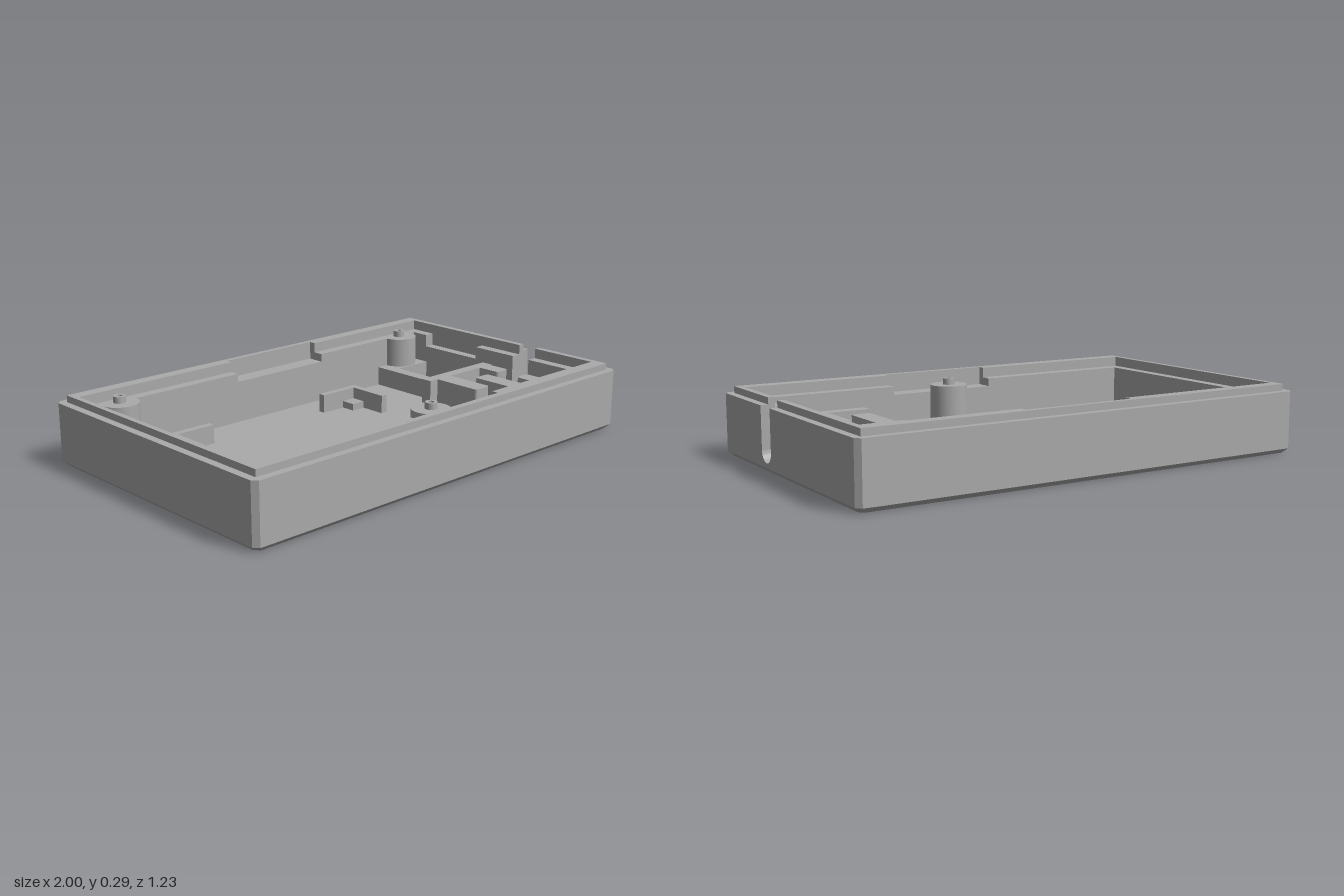
import * as THREE from 'three';
import { toCreasedNormals } from 'three/addons/utils/BufferGeometryUtils.js';
import { ConvexGeometry } from 'three/addons/geometries/ConvexGeometry.js';

const FLOOR = 0.03, LEDGE = 0.245, SHOULDER = 0.26, TOP = 0.288;
const SLOT_A = 0.13, SLOT_B = 0.22; // cable slot limits in z

export function createModel() {
  const model = new THREE.Group();
  model.name = 'enclosureBase';
  const plastic = new THREE.MeshStandardMaterial({ color: 0xaaaaaa });
  plastic.name = 'grey plastic';

  const add = (name, geometry, parent = model) => {
    const mesh = new THREE.Mesh(geometry, plastic);
    mesh.name = name;
    parent.add(mesh);
    return mesh;
  };
  const group = (name) => {
    const g = new THREE.Group();
    g.name = name;
    model.add(g);
    return g;
  };
  // box given by its limits, standing on the floor
  const block = (name, x0, x1, z0, z1, top, parent) =>
    add(name, new THREE.BoxGeometry(x1 - x0, top - FLOOR, z1 - z0), parent)
      .position.set((x0 + x1) / 2, (top + FLOOR) / 2, (z0 + z1) / 2);
  // plan outline of [x, z] points raised from y0 to y1
  const raise = (shape, y0, y1) =>
    new THREE.ExtrudeGeometry(shape, { depth: y1 - y0, bevelEnabled: false, curveSegments: 6 })
      .rotateX(-Math.PI / 2).translate(0, y0, 0);
  const plan = (points) => new THREE.Shape(points.map(([x, z]) => new THREE.Vector2(x, -z)));

  // floor slab with chamfered lower edge
  const octagon = (x, z, c) => [
    [x, z - c], [x - c, z], [-x + c, z], [-x, z - c],
    [-x, -z + c], [-x + c, -z], [x - c, -z], [x, -z + c]];
  const slab = [[0.98, 0.595, 0], [1, 0.615, 0.02], [1, 0.615, FLOOR]].flatMap(([x, z, y]) =>
    octagon(x, z, 0.02).map(([px, pz]) => new THREE.Vector3(px, y, pz)));
  add('floor', new ConvexGeometry(slab));

  // walls: stacked rings, open at the cable slot in the +x side
  const bodyOutline = [[1, SLOT_B], ...octagon(1, 0.615, 0.02), [1, SLOT_A]];
  const lipOutline = [[0.968, SLOT_B], [0.968, 0.583], [-0.968, 0.583],
    [-0.968, -0.583], [0.968, -0.583], [0.968, SLOT_A]];
  const cavity = (x0, x1, z0, z1, sideNotch, endNotches) => [
    [x1, SLOT_A],
    ...(sideNotch ? [[x1, -0.09], [0.94, -0.09], [0.94, -0.405], [x1, -0.405]] : []),
    [x1, z0],
    ...(endNotches ? [[0.29, z0], [0.29, -0.56], [-0.19, -0.56], [-0.19, z0]] : []),
    [x0, z0], [x0, z1],
    ...(endNotches ? [[-0.19, z1], [-0.19, 0.555], [0.29, 0.555], [0.29, z1]] : []),
    [x1, z1], [x1, SLOT_B]];
  const lower = [-0.9, 0.895, -0.485, 0.475], upper = [-0.945, 0.94, -0.53, 0.525];
  const walls = group('walls');
  [
    ['lowerWall', bodyOutline, cavity(...lower, false, false), FLOOR, 0.19],
    ['sideNotchWall', bodyOutline, cavity(...lower, true, false), 0.19, 0.21],
    ['ledgeWall', bodyOutline, cavity(...lower, true, true), 0.21, LEDGE],
    ['shoulderWall', bodyOutline, cavity(...upper, false, true), LEDGE, SHOULDER],
    ['lip', lipOutline, cavity(...upper, false, true), SHOULDER, TOP],
  ].forEach(([name, outer, inner, y0, y1]) =>
    add(name, raise(plan([...outer, ...inner]), y0, y1), walls));

  // rounded bottom of the cable slot
  const r = (SLOT_B - SLOT_A) / 2, arcY = 0.085, midZ = (SLOT_A + SLOT_B) / 2;
  const saddle = new THREE.Shape();
  saddle.moveTo(-r, FLOOR);
  saddle.lineTo(r, FLOOR);
  saddle.lineTo(r, arcY);
  saddle.absarc(0, arcY, r, 0, -Math.PI, true);
  saddle.lineTo(-r, FLOOR);
  const saddleGeometry = new THREE.ExtrudeGeometry(saddle,
    { depth: 0.105, bevelEnabled: false, curveSegments: 24 });
  add('cableSlotBottom', toCreasedNormals(saddleGeometry.rotateY(Math.PI / 2), 0.6))
    .position.set(0.895, 0, midZ);

  // screw bosses with hollow locating pegs
  const bossProfile = [[0.08, FLOOR], [0.08, LEDGE], [0.025, LEDGE], [0.025, 0.272],
    [0.012, 0.272], [0.012, 0.2], [0, 0.2]].map(([x, y]) => new THREE.Vector2(x, y));
  const bossGeometry = toCreasedNormals(new THREE.LatheGeometry(bossProfile, 40), 0.6);
  [[-0.79, -0.485], [0.79, -0.485], [0.05, 0.42]].forEach(([x, z]) =>
    add('screwBoss', bossGeometry).position.set(x, 0, z));

  // four corner brackets holding a board, each with a low support block
  const cx = -0.14, cz = -0.0325, hx = 0.515, hz = 0.3275, t = 0.03, arm = 0.21;
  for (const sx of [-1, 1]) for (const sz of [-1, 1]) {
    const bracket = group('boardBracket');
    const part = (name, a0, a1, b0, b1, top) => {
      const x = [cx + sx * (hx - a0), cx + sx * (hx - a1)].sort((a, b) => a - b);
      const z = [cz + sz * (hz - b0), cz + sz * (hz - b1)].sort((a, b) => a - b);
      block(name, ...x, ...z, top, bracket);
    };
    part('bracketLongArm', 0, arm, 0, t, 0.11);
    part('bracketShortArm', 0, t, t, arm, 0.11);
    part('bracketSupport', t, 0.095, t, 0.095, 0.06);
  }

  // component pocket in the back corner
  const pocket = group('cornerPocket');
  block('pocketSide', 0.655, 0.71, -0.485, -0.135, 0.115, pocket);
  block('pocketBack', 0.71, 0.895, -0.485, -0.4, 0.115, pocket);
  block('pocketFront', 0.71, 0.895, -0.165, -0.135, 0.115, pocket);

  // cable clamp: two bars with interleaved round-cornered fingers
  const clamp = group('cableClamp');
  const clampTop = 0.185;
  block('backBar', 0.48, 0.885, -0.035, 0.015, clampTop, clamp);
  block('frontBar', 0.48, 0.885, 0.33, 0.38, clampTop, clamp);
  const finger = (x0, x1, zRoot, zTip) => {
    const d = Math.sign(zTip - zRoot) * 0.015;
    const s = new THREE.Shape();
    s.moveTo(x0, -zRoot);
    s.lineTo(x0, -zTip + d);
    s.quadraticCurveTo(x0, -zTip, x0 + 0.015, -zTip);
    s.lineTo(x1 - 0.015, -zTip);
    s.quadraticCurveTo(x1, -zTip, x1, -zTip + d);
    s.lineTo(x1, -zRoot);
    add('clampFinger', raise(s, FLOOR, clampTop), clamp);
  };
  finger(0.525, 0.61, 0.015, 0.24);
  finger(0.805, 0.875, 0.015, 0.12);
  finger(0.665, 0.745, 0.33, 0.11);
  finger(0.805, 0.875, 0.33, 0.23);

  return model;
}
